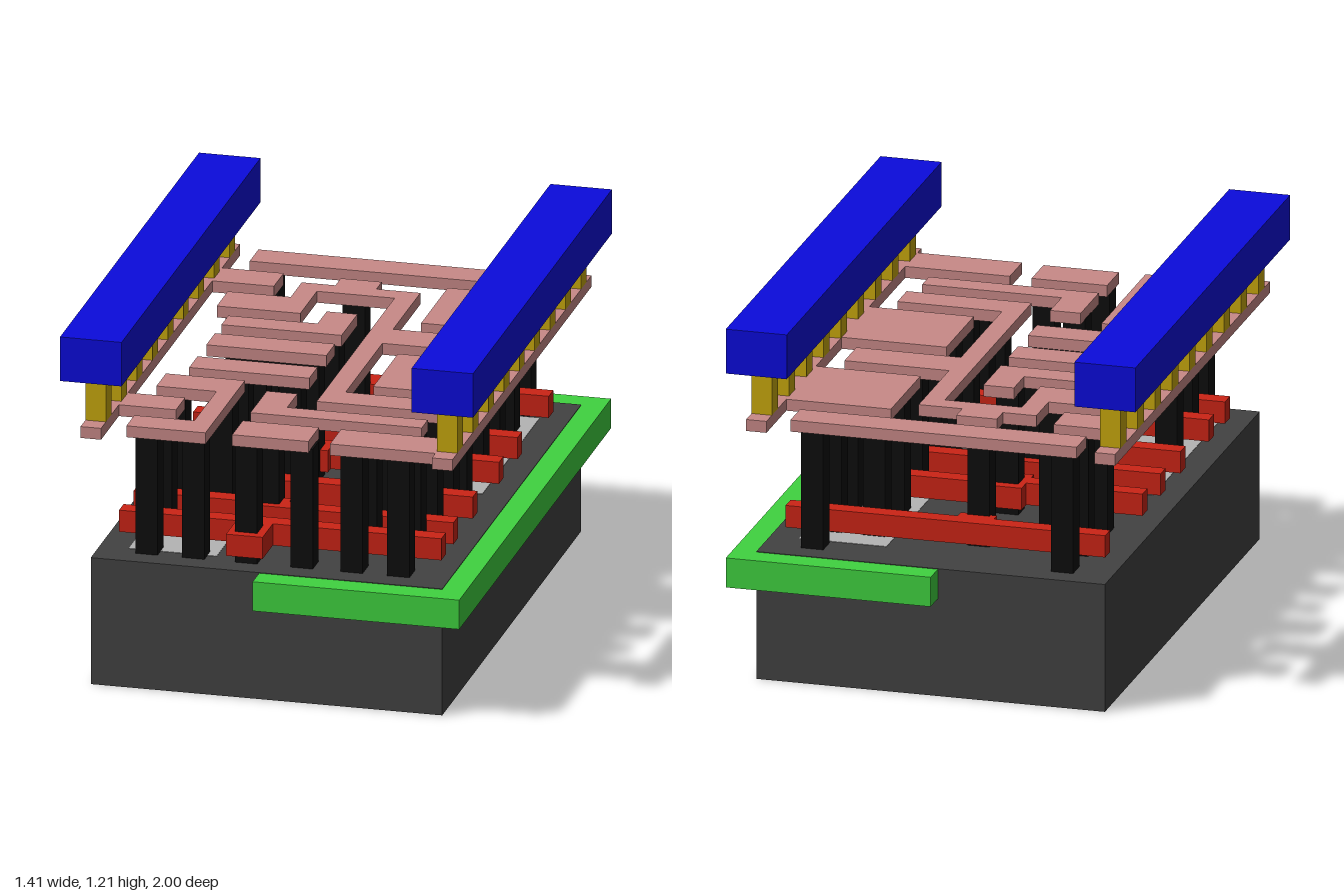
import * as THREE from 'three';

const mat = (color) => new THREE.MeshStandardMaterial({ color });
const MATS = {
  base: mat(0x424242), well: mat(0x40d340), diffusion: mat(0xb4b4b4), gate: mat(0xcc2416),
  pillar: mat(0x0e0e0e), metal: mat(0xc98a88), via: mat(0xc8a80e), rail: mat(0x0b0bdc),
};

export function createModel() {
  const root = new THREE.Group();

  const group = (name) => {
    const g = new THREE.Group();
    g.name = name;
    root.add(g);
    return g;
  };
  // Box given by its limits on each axis
  const box = (parent, name, m, [x0, x1], [y0, y1], [z0, z1]) => {
    const mesh = new THREE.Mesh(new THREE.BoxGeometry(x1 - x0, y1 - y0, z1 - z0), m);
    mesh.position.set((x0 + x1) / 2, (y0 + y1) / 2, (z0 + z1) / 2);
    mesh.name = name;
    parent.add(mesh);
  };
  // Flat plate from an outline of [x, z] corners
  const plate = (parent, name, m, [y0, y1], pts) => {
    const shape = new THREE.Shape(pts.map(([x, z]) => new THREE.Vector2(x, -z)));
    const geo = new THREE.ExtrudeGeometry(shape, { depth: y1 - y0, bevelEnabled: false });
    geo.rotateX(-Math.PI / 2).translate(0, y0, 0);
    const mesh = new THREE.Mesh(geo, m);
    mesh.name = name;
    parent.add(mesh);
  };
  const rect = (x0, x1, z0, z1) => [[x0, z0], [x1, z0], [x1, z1], [x0, z1]];

  // Substrate block with the green well set into one side
  box(root, 'substrate', MATS.base, [-0.6, 0.6], [0, 0.445], [-0.915, 0.915]);
  box(root, 'well', MATS.well, [-0.025, 0.68], [0.34, 0.443], [-1, 1]);

  // Pale areas level with the substrate top
  box(root, 'diffusionRight', MATS.diffusion, [0.2, 0.5], [0.43, 0.4465], [-0.75, 0]);
  box(root, 'diffusionLeft', MATS.diffusion, [-0.5, -0.2], [0.43, 0.4465], [0, 0.8]);

  // Red gate strips: left bar z, right bar z, joining pad z range
  const gates = group('gates');
  const GY = [0.477, 0.553];
  [
    [-0.74, -0.74, -0.74, -0.645],
    [-0.30, -0.33, -0.355, -0.21],
    [-0.085, -0.085, -0.09, 0.01],
    [0.15, 0.26, 0.15, 0.325],
    [0.485, 0.515, 0.485, 0.575],
    [0.675, 0.675, 0.675, 0.87],
  ].forEach(([l, r, p0, p1]) => {
    const w = 0.06;
    box(gates, 'gateLeft', MATS.gate, [-0.55, -0.15], GY, [l, l + w]);
    box(gates, 'gatePad', MATS.gate, [-0.15, -0.025], GY, [p0, p1]);
    box(gates, 'gateRight', MATS.gate, [-0.025, 0.55], GY, [r, r + w]);
  });

  // Black contact pillars, listed by row: z, then x positions
  const pillars = group('pillars');
  [
    [-0.8, [-0.43, 0.43]],
    [-0.62, [-0.43, -0.09, 0.27, 0.42]],
    [-0.39, [-0.43, -0.27, 0.27, 0.43]],
    [-0.28, [-0.09]],
    [-0.175, [-0.27, 0.27, 0.43]],
    [-0.015, [-0.27, -0.09]],
    [0.045, [0.27, 0.43]],
    [0.22, [-0.27, -0.09, 0.27, 0.43]],
    [0.43, [-0.43, -0.27, 0.27, 0.43]],
    [0.51, [-0.09]],
    [0.612, [-0.43, 0.27, 0.42]],
    [0.8, [-0.43, -0.27, -0.09, 0.1, 0.27, 0.43]],
  ].forEach(([z, xs]) => xs.forEach((x) => {
    const h = 0.038;
    box(pillars, 'pillar', MATS.pillar, [x - h, x + h], [0.44, 0.866], [z - h, z + h]);
  }));

  // Pink wiring layer
  const wiring = group('wiring');
  [
    rect(-0.493, 0.493, -0.88, -0.765),
    // stubs joined to the side strips
    rect(-0.565, -0.355, -0.68, -0.55),
    rect(-0.565, -0.37, 0.56, 0.68),
    rect(0.205, 0.565, -0.68, -0.33),
    rect(0.205, 0.565, -0.025, 0.3),
    rect(0.205, 0.565, 0.725, 0.87),
    // long winding trace
    [[-0.49, -0.465], [-0.275, -0.465], [-0.275, -0.61], [-0.16, -0.61], [-0.16, -0.68],
      [-0.02, -0.68], [-0.02, -0.61], [0.13, -0.61], [0.13, -0.25], [0.49, -0.25],
      [0.49, -0.11], [0.13, -0.11], [0.13, 0.375], [0.49, 0.375], [0.49, 0.485],
      [0.06, 0.485], [0.06, -0.54], [-0.205, -0.54], [-0.205, -0.32], [-0.49, -0.32]],
    // bracket at the front left
    [[-0.49, 0.35], [-0.22, 0.35], [-0.22, 0.87], [-0.49, 0.87],
      [-0.49, 0.765], [-0.285, 0.765], [-0.285, 0.475], [-0.49, 0.475]],
    // short traces over the middle
    [[-0.43, -0.24], [-0.125, -0.24], [-0.125, -0.36], [-0.02, -0.36], [-0.02, -0.15], [-0.43, -0.15]],
    rect(-0.43, -0.02, -0.065, 0.05),
    rect(-0.43, -0.02, 0.165, 0.275),
    [[-0.125, 0.43], [-0.02, 0.43], [-0.02, 0.565], [0.46, 0.565], [0.46, 0.645], [-0.125, 0.645]],
    rect(-0.13, 0.13, 0.725, 0.865),
  ].forEach((pts) => plate(wiring, 'trace', MATS.metal, [0.863, 0.903], pts));

  // Side strips, yellow posts and blue beams, mirrored
  const sides = group('powerRails');
  for (const s of [-1, 1]) {
    const span = (a, b) => (s > 0 ? [a, b] : [-b, -a]);
    box(sides, 'sideStrip', MATS.metal, span(0.565, 0.635), [0.863, 0.903], [-0.915, 0.915]);
    for (let i = 0; i < 9; i++) {
      const z = -0.815 + i * 0.2037;
      box(sides, 'post', MATS.via, span(0.565, 0.635), [0.903, 1.057], [z - 0.036, z + 0.036]);
    }
    box(sides, 'beam', MATS.rail, span(0.495, 0.705), [1.057, 1.212], [-0.915, 0.915]);
  }

  return root;
}
